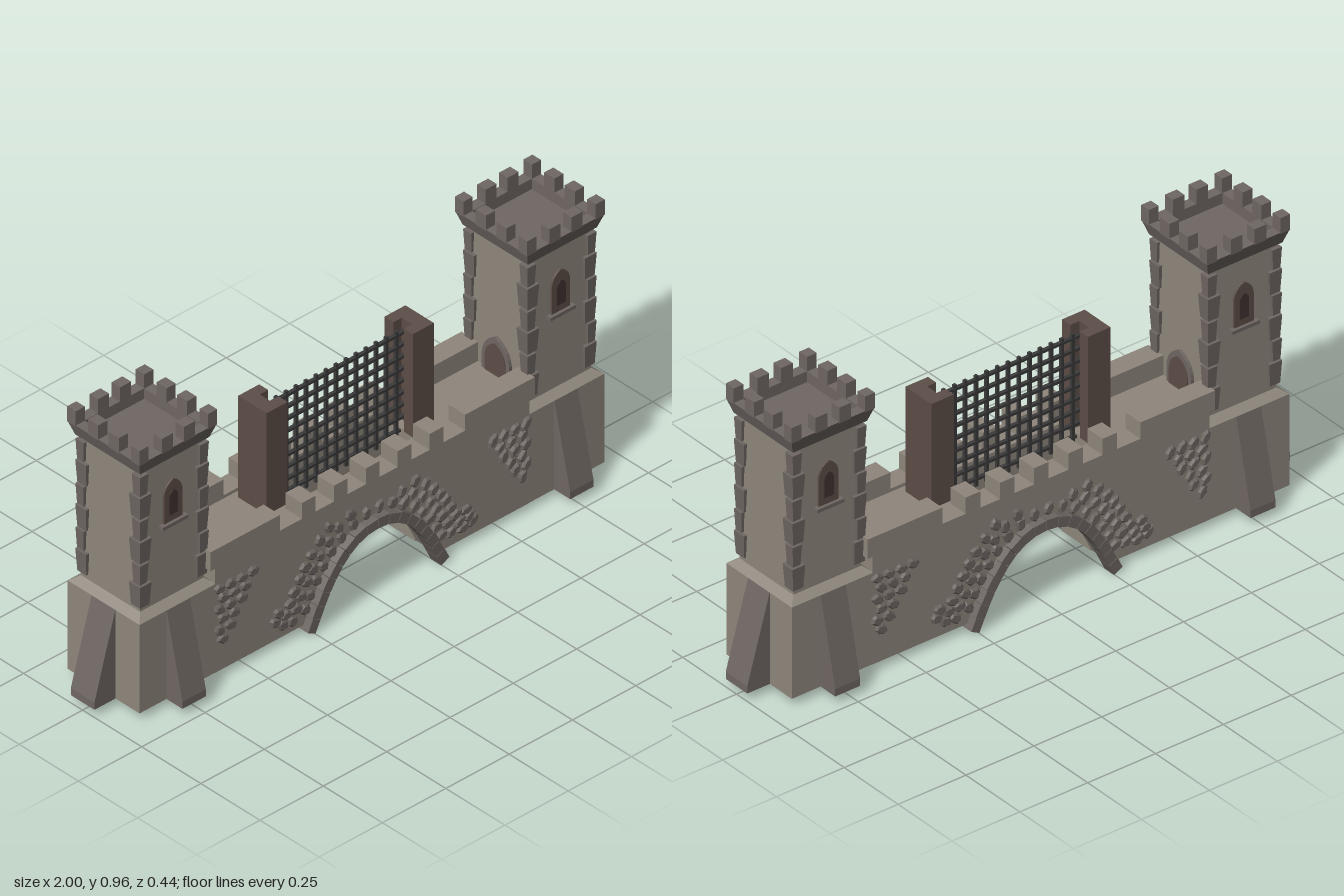
import * as THREE from 'three';

const mat = (color) => new THREE.MeshStandardMaterial({ color, flatShading: true });
const WALL = mat(0x8f877d), STONE = mat(0x6f6763), WOOD = mat(0x5d4e48), IRON = mat(0x3a3a3b), PANE = mat(0x3f3430);

let seed = 7;
const rand = () => (seed = (seed * 16807) % 2147483647) / 2147483647;

function add(parent, name, geo, material, x = 0, y = 0, z = 0) {
  const m = new THREE.Mesh(geo, material);
  m.name = name;
  m.position.set(x, y, z);
  parent.add(m);
  return m;
}

// box given by its limits
function block(parent, name, material, x0, x1, y0, y1, z0, z1) {
  return add(parent, name, new THREE.BoxGeometry(x1 - x0, y1 - y0, z1 - z0), material,
    (x0 + x1) / 2, (y0 + y1) / 2, (z0 + z1) / 2);
}

const shapeOf = (pts) => new THREE.Shape(pts.map(([x, y]) => new THREE.Vector2(x, y)));
const slab = (pts, depth) => new THREE.ExtrudeGeometry(shapeOf(pts), { depth, bevelEnabled: false });

// square solid from a profile of [half width, height]
const squareLathe = (pts) => new THREE.LatheGeometry(
  pts.map(([r, y]) => new THREE.Vector2(r * Math.SQRT2, y)), 4, Math.PI / 4);

// pointed arch outline standing on y = 0
function pointedArch(w, h, depth) {
  const s = new THREE.Shape();
  s.moveTo(-w, 0);
  s.lineTo(w, 0);
  s.lineTo(w, h - w * 1.3);
  s.quadraticCurveTo(w * 0.9, h - w * 0.35, 0, h);
  s.quadraticCurveTo(-w * 0.9, h - w * 0.35, -w, h - w * 1.3);
  return new THREE.ExtrudeGeometry(s, { depth, bevelEnabled: false, curveSegments: 5 });
}

// centre line of the gate arch, from -x to +x
const half = [[0.264, 0.015], [0.2, 0.14], [0.13, 0.227], [0.065, 0.266]];
const archCurve = new THREE.CatmullRomCurve3(
  [...half.map(([x, y]) => [-x, y]), [0, 0.277], ...half.slice().reverse()]
    .map(([x, y]) => new THREE.Vector3(x, y, 0)));
function archPoint(t, off) {
  const p = archCurve.getPointAt(t), d = archCurve.getTangentAt(t);
  return [p.x - d.y * off, p.y + d.x * off];
}

// irregular facing stone
function cobble(parent, x, y, angle, rx, ry) {
  const pts = [];
  for (let i = 0; i < 7; i++) {
    const a = (i + rand() * 0.5) / 7 * Math.PI * 2, k = 0.85 + rand() * 0.25;
    pts.push([Math.cos(a) * rx * k, Math.sin(a) * ry * k]);
  }
  const geo = new THREE.ExtrudeGeometry(shapeOf(pts),
    { depth: 0.008, bevelEnabled: true, bevelThickness: 0.005, bevelSize: 0.005, bevelOffset: -0.005, bevelSegments: 1 });
  add(parent, 'facingStone', geo, STONE, x, y, 0.15).rotation.z = angle;
}

// one long face of the bridge wall: slab, parapet, arch ring and stones
function wallFace() {
  const g = new THREE.Group();
  g.name = 'wallFace';
  const arch = [];
  for (let i = 0; i <= 28; i++) {
    const p = archPoint(i / 28, 0);
    if (p[1] > 0.04) arch.push(p);
  }
  add(g, 'archedWall', slab([[-0.62, 0.035], [-0.254, 0.035], ...arch, [0.254, 0.035], [0.62, 0.035],
    [0.62, 0.405], [-0.62, 0.405]], 0.087), WALL, 0, 0, 0.066);

  // parapet with merlons in the middle and high ends
  const top = [[-0.64, 0.405], [0.64, 0.405], [0.64, 0.472], [0.365, 0.472], [0.365, 0.416]];
  for (let i = 2; i >= -2; i--) {
    const c = i * 0.126;
    top.push([c + 0.027, 0.416], [c + 0.027, 0.472], [c - 0.027, 0.472], [c - 0.027, 0.416]);
  }
  top.push([-0.365, 0.416], [-0.365, 0.472], [-0.64, 0.472]);
  add(g, 'parapet', slab(top, 0.07), WALL, 0, 0, 0.085);

  // voussoirs
  const n = 18;
  for (let i = 0; i < n; i++) {
    const a = i / n + 0.001, b = (i + 1) / n - 0.001, o = 0.016 + (i % 2) * 0.002;
    add(g, 'archStone', slab([archPoint(a, -0.017), archPoint(b, -0.017), archPoint(b, o), archPoint(a, o)], 0.045),
      STONE, 0, 0, 0.135);
  }

  // stones fanned around the arch, in a band of varying width
  const band = [0.075, 0.11, 0.145, 0.115, 0.125, 0.16];
  for (let row = 0; row < 4; row++) {
    const off = 0.038 + row * 0.036, count = 18 + row * 3;
    for (let i = 0; i < count; i++) {
      const t = (i + 0.5 + (row % 2) * 0.3) / count;
      const limit = band[Math.min(5, Math.floor(Math.abs(t - 0.5) * 12))];
      const [x, y] = archPoint(Math.min(t, 1), off);
      if (off > limit || y < 0.055 || y > 0.338) continue;
      const d = archCurve.getTangentAt(Math.min(t, 1));
      cobble(g, x, y, Math.atan2(d.y, d.x) + 1.57 + (rand() - 0.5) * 0.6, 0.024, 0.018);
    }
  }
  // loose patches beside the towers
  for (const s of [-1, 1])
    [4, 3, 3, 2, 2, 1].forEach((count, r) => {
      for (let i = 0; i < count; i++)
        cobble(g, s * (0.605 - i * 0.044 - (r % 2) * 0.014), 0.325 - r * 0.036, s * 0.7 + rand() * 0.4, 0.024, 0.017);
    });
  return g;
}

// corner stone, wider at the top
function quoin(w, h) {
  const geo = new THREE.BoxGeometry(w, h, w), p = geo.attributes.position;
  for (let i = 0; i < p.count; i++) {
    const k = p.getY(i) > 0 ? 1.08 : 0.88;
    p.setX(i, p.getX(i) * k);
    p.setZ(i, p.getZ(i) * k);
  }
  return geo;
}

// tower around its own axis, outer side towards +x
function tower() {
  const g = new THREE.Group();
  g.name = 'tower';
  add(g, 'towerBody', squareLathe([[0, 0.035], [0.152, 0.035], [0.152, 0.348], [0.125, 0.368], [0.125, 0.875]]), WALL);
  add(g, 'battlement', squareLathe([[0, 0.866], [0.137, 0.866], [0.153, 0.915], [0.118, 0.915], [0.118, 0.878], [0, 0.878]]), STONE);

  // merlons round the rim
  for (let i = 0; i < 4; i++) for (let j = 0; j < 4; j++) {
    if (i % 3 && j % 3) continue;
    const at = (k) => [-0.1315, -0.0435, 0.0435, 0.1315][k];
    const wx = i % 3 ? 0.043 : 0.036, wz = j % 3 ? 0.043 : 0.036;
    const edge = (k) => (k % 3 ? at(k) : Math.sign(at(k)) * 0.135);
    add(g, 'merlon', new THREE.BoxGeometry(wx, 0.054, wz), STONE, edge(i), 0.938, edge(j));
  }

  // quoins
  for (const sx of [-1, 1]) for (const sz of [-1, 1])
    for (let i = 0; i < 6; i++) {
      const w = i % 2 ? 0.032 : 0.043, h = i % 2 ? 0.07 : 0.078, c = 0.135 - w / 2;
      add(g, 'quoin', quoin(w, h), STONE, sx * c, 0.424 + i * 0.0785, sz * c);
    }

  // sloping buttresses: front, back and outer side
  for (const [turn, out, w] of [[-Math.PI / 2, 0.22, 0.092], [Math.PI / 2, 0.22, 0.092], [0, 0.235, 0.1]]) {
    const geo = slab([[0.1, 0.035], [out, 0.035], [out, 0.06], [0.153, 0.348], [0.1, 0.348]], w);
    geo.translate(0, 0, -w / 2);
    add(g, 'buttress', geo, STONE).rotation.y = turn;
  }

  // windows, front and back
  for (const turn of [0, Math.PI]) {
    const w = new THREE.Group();
    w.name = 'window';
    w.rotation.y = turn;
    add(w, 'windowFrame', pointedArch(0.036, 0.145, 0.01), WOOD, 0, 0.636, 0.122);
    add(w, 'windowPane', pointedArch(0.017, 0.085, 0.003), PANE, 0, 0.66, 0.131);
    block(w, 'windowSill', STONE, -0.05, 0.05, 0.625, 0.637, 0.12, 0.142);
    g.add(w);
  }

  // door to the walkway on the inner side
  const door = new THREE.Group();
  door.name = 'door';
  door.rotation.y = -Math.PI / 2;
  add(door, 'doorFrame', pointedArch(0.058, 0.135, 0.014), STONE, 0, 0.4, 0.122);
  add(door, 'doorLeaf', pointedArch(0.043, 0.115, 0.004), WOOD, 0, 0.4, 0.135);
  g.add(door);
  return g;
}

export function createModel() {
  const model = new THREE.Group();
  model.name = 'castleGate';

  for (const turn of [0, Math.PI]) {
    const face = wallFace();
    face.rotation.y = turn;
    model.add(face);
    const t = tower();
    t.position.x = turn ? -0.765 : 0.765;
    t.rotation.y = turn;
    model.add(t);
  }

  for (const s of [-1, 1]) {
    const side = new THREE.Group();
    side.name = 'gateSide';
    side.rotation.y = s > 0 ? 0 : Math.PI;
    block(side, 'gateJamb', WALL, 0.25, 0.36, 0.035, 0.405, -0.067, 0.067);
    block(side, 'walkway', WALL, 0.36, 0.64, 0.37, 0.405, -0.086, 0.086);
    // wooden post with a groove for the grille
    const post = slab([[0.33, -0.06], [0.33, 0.06], [0.247, 0.06], [0.247, 0.022], [0.28, 0.022],
      [0.28, -0.022], [0.247, -0.022], [0.247, -0.06]], 0.365);
    post.rotateX(-Math.PI / 2);
    add(side, 'gatePost', post, WOOD, 0, 0.4, 0);
    model.add(side);
  }

  // portcullis
  const grille = new THREE.Group();
  grille.name = 'portcullis';
  for (let i = -6; i <= 6; i++) block(grille, 'uprightBar', IRON, i * 0.0395 - 0.005, i * 0.0395 + 0.005, 0.37, 0.75, -0.005, 0.005);
  for (let i = 0; i < 9; i++) block(grille, 'crossBar', IRON, -0.275, 0.275, 0.39 + i * 0.0425, 0.399 + i * 0.0425, -0.006, 0.006);
  model.add(grille);
  return model;
}
